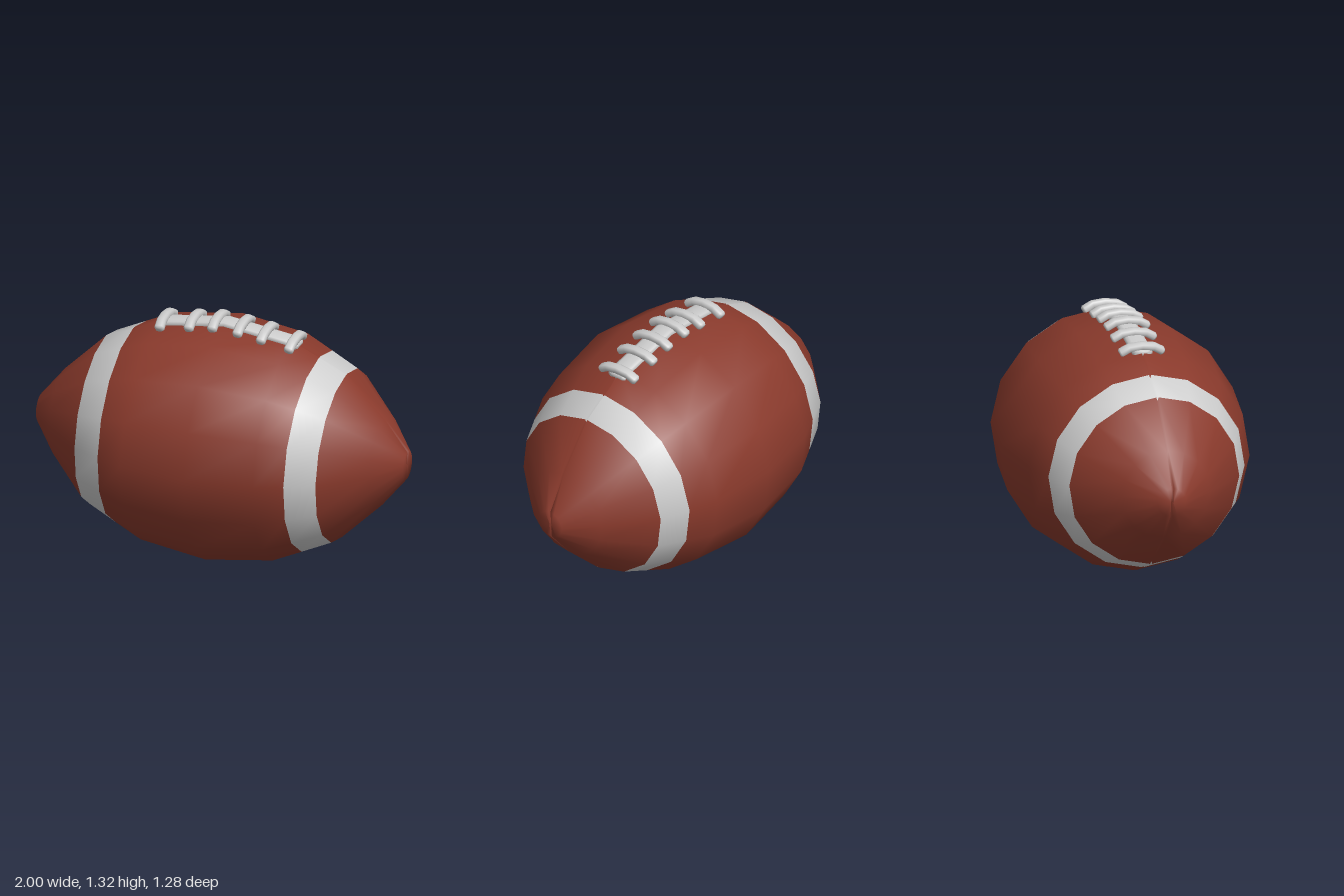
import * as THREE from 'three';

const LEATHER = new THREE.MeshStandardMaterial({ color: 0x8a3a2c });
const GREY = new THREE.MeshStandardMaterial({ color: 0xcccccc });

// Half profile: [distance from the middle, radius]
const PROFILE = [[0, 0.64], [0.36, 0.59], [0.505, 0.523], [0.655, 0.453], [0.87, 0.237], [0.997, 0.075], [0.997, 0]];
const STATIONS = [
  ...PROFILE.slice(1).reverse().map(([x, r]) => [-x, r]),
  ...PROFILE,
];
const SIDES = 16, LIP = 0.006, DEPTH = 0.02;

// Surface radius at x
function radiusAt(x) {
  const a = Math.abs(x);
  const i = PROFILE.findIndex((p, k) => a <= PROFILE[k + 1][0]);
  const [x0, r0] = PROFILE[i], [x1, r1] = PROFILE[i + 1];
  return r0 + (r1 - r0) * (a - x0) / (x1 - x0);
}

// One ring of points, with a narrow seam groove at the top and the bottom
function ring(x, r) {
  const pts = [];
  const grooveX = Math.abs(x) > 0.99 ? x - Math.sign(x) * DEPTH : x;
  const grooveR = Math.max(r - DEPTH, 0);
  for (let k = 0; k < SIDES; k++) {
    const t = (k / SIDES) * Math.PI * 2;
    const c = Math.cos(t), s = Math.sin(t);
    if (k % (SIDES / 2) === 0) {
      pts.push([x, r * c, -LIP * c], [grooveX, grooveR * c, 0], [x, r * c, LIP * c]);
    } else {
      pts.push([x, r * c, r === 0 ? LIP * Math.sign(s) : r * s]);
    }
  }
  return pts;
}

// Ball skin, split into leather and stripes that share smooth normals
function makeSkin() {
  const rings = STATIONS.map(([x, r]) => ring(x, r));
  const n = rings[0].length;
  const leather = [], leftStripe = [], rightStripe = [];
  for (let i = 0; i < rings.length - 1; i++) {
    const mid = (STATIONS[i][0] + STATIONS[i + 1][0]) / 2;
    const isStripe = Math.abs(Math.abs(mid) - 0.58) < 0.02;
    const target = !isStripe ? leather : mid > 0 ? leftStripe : rightStripe;
    for (let j = 0; j < n; j++) {
      const a = i * n + j, b = i * n + (j + 1) % n;
      target.push(a, b, a + n, b, b + n, a + n);
    }
  }
  const base = new THREE.BufferGeometry();
  base.setAttribute('position', new THREE.Float32BufferAttribute(rings.flat(2), 3));
  base.setIndex([...leather, ...leftStripe, ...rightStripe]);
  base.computeVertexNormals();
  const part = (name, index, material) => {
    const g = base.clone();
    g.setIndex(index);
    const m = new THREE.Mesh(g, material);
    m.name = name;
    return m;
  };
  return [
    part('leatherBody', leather, LEATHER),
    part('leftStripe', leftStripe, GREY),
    part('rightStripe', rightStripe, GREY),
  ];
}

// Soft flat cord swept along a path of [x, y] points, with rounded ends
function cord(path, halfWidth, halfHeight) {
  const sides = 12, last = path.length - 1, pos = [], index = [];
  const soft = (v) => Math.sign(v) * Math.abs(v) ** 0.7;
  const tangent = (i) => {
    const a = path[Math.max(i - 1, 0)], b = path[Math.min(i + 1, last)];
    return new THREE.Vector2(b[0] - a[0], b[1] - a[1]).normalize();
  };
  // Each section: path point, shift along the path, scale
  const sections = [[0, -0.01, 0], [0, -0.01, 0.7]];
  path.forEach((p, i) => sections.push([i, 0, 1]));
  sections.push([last, 0.01, 0.7], [last, 0.01, 0]);
  for (const [i, shift, scale] of sections) {
    const t = tangent(i);
    for (let k = 0; k < sides; k++) {
      const a = (k / sides) * Math.PI * 2;
      const h = soft(Math.cos(a)) * halfHeight * scale;
      const w = soft(Math.sin(a)) * halfWidth * scale;
      pos.push(path[i][0] + t.x * shift - t.y * h, path[i][1] + t.y * shift + t.x * h, w);
    }
  }
  for (let i = 0; i < sections.length - 1; i++) {
    for (let k = 0; k < sides; k++) {
      const a = i * sides + k, b = i * sides + (k + 1) % sides;
      index.push(a, b, a + sides, b, b + sides, a + sides);
    }
  }
  const g = new THREE.BufferGeometry();
  g.setAttribute('position', new THREE.Float32BufferAttribute(pos, 3));
  g.setIndex(index);
  g.computeVertexNormals();
  return g;
}

function makeLaces() {
  const laces = new THREE.Group();
  laces.name = 'laces';

  // Long lace lying on the seam
  const xs = [-0.35, -0.25, -0.17, -0.08, 0, 0.08, 0.17, 0.26, 0.33, 0.39];
  const longLace = new THREE.Mesh(cord(xs.map((x) => [x, radiusAt(x) - 0.004]), 0.055, 0.023), GREY);
  longLace.name = 'longLace';
  laces.add(longLace);

  // Arched cross laces
  const arch = [[-0.108, -0.004], [-0.065, 0.02], [0, 0.028], [0.065, 0.02], [0.108, -0.004]];
  const crossGeometry = cord(arch, 0.026, 0.021).rotateY(Math.PI / 2);
  [-0.33, -0.172, -0.045, 0.092, 0.22, 0.373].forEach((x, i) => {
    const cross = new THREE.Mesh(crossGeometry, GREY);
    cross.name = `crossLace${i + 1}`;
    cross.position.set(x, radiusAt(x), 0);
    cross.rotation.z = -x * 0.4;
    laces.add(cross);
  });
  return laces;
}

export function createModel() {
  const model = new THREE.Group();
  model.name = 'football';
  const ball = new THREE.Group();
  ball.name = 'ball';
  ball.add(...makeSkin(), makeLaces());
  // Resting pose, slightly rolled and tilted
  ball.rotation.set(0.05, 0.006, -0.045);
  ball.position.y = 0.641;
  model.add(ball);
  return model;
}
